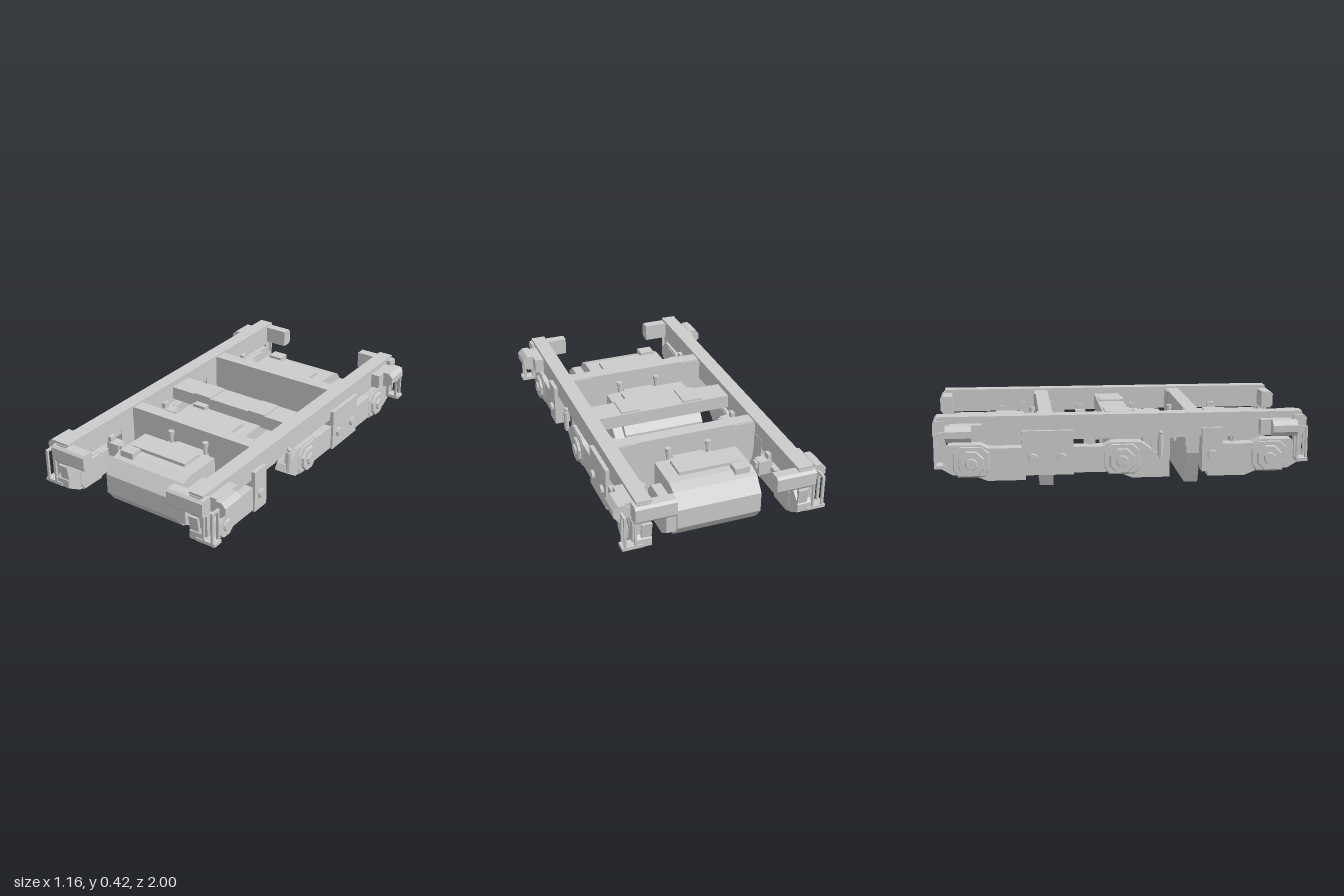
import * as THREE from 'three';

const grey = new THREE.MeshStandardMaterial({ color: 0xcccccc, flatShading: true, side: THREE.DoubleSide });

function add(parent, name, geometry, x = 0, y = 0, z = 0) {
  const mesh = new THREE.Mesh(geometry, grey);
  mesh.name = name;
  mesh.position.set(x, y, z);
  parent.add(mesh);
  return mesh;
}

// Box given by its limits on each axis
function box(parent, name, [x0, x1], [y0, y1], [z0, z1]) {
  const g = new THREE.BoxGeometry(Math.abs(x1 - x0), Math.abs(y1 - y0), Math.abs(z1 - z0));
  return add(parent, name, g, (x0 + x1) / 2, (y0 + y1) / 2, (z0 + z1) / 2);
}

function extrude(points, depth, bevel = 0) {
  const shape = new THREE.Shape(points.map(([a, b]) => new THREE.Vector2(a, b)));
  return new THREE.ExtrudeGeometry(shape, {
    depth, bevelEnabled: bevel > 0, bevelSize: bevel, bevelThickness: bevel, bevelOffset: -bevel, bevelSegments: 1,
  });
}

// Profile of [z, y] points extruded along x
function sideProfile(parent, name, points, x0, x1, bevel = 0) {
  const g = extrude(points.map(([z, y]) => [-z, y]), x1 - x0 - 2 * bevel, bevel);
  g.rotateY(Math.PI / 2);
  return add(parent, name, g, x0 + bevel, 0, 0);
}

// Cylinder lying along x
function discX(parent, name, r0, r1, x0, x1, y, z, sides = 8) {
  const g = new THREE.CylinderGeometry(r1, r0, x1 - x0, sides);
  g.rotateY(Math.PI / sides);
  g.rotateZ(-Math.PI / 2);
  return add(parent, name, g, (x0 + x1) / 2, y, z);
}

// Traction motor: local z runs from the nose (0) to the rounded end (0.34)
function motor() {
  const m = new THREE.Group();
  m.name = 'tractionMotor';
  sideProfile(m, 'motorCasing', [
    [0, 0.015], [0.21, 0.015], [0.285, 0.045], [0.335, 0.11], [0.335, 0.22], [0.275, 0.295], [0.215, 0.315], [0, 0.315],
  ], -0.26, 0.21);
  sideProfile(m, 'gearCase', [
    [0.12, 0.065], [0.28, 0.065], [0.35, 0.11], [0.35, 0.215], [0.29, 0.262], [0.12, 0.262], [0.08, 0.215], [0.08, 0.11],
  ], 0.22, 0.275);
  box(m, 'axleStub', [0.2, 0.23], [0.14, 0.2], [0.18, 0.26]);
  box(m, 'inspectionCover', [-0.215, 0.135], [0.31, 0.333], [0.035, 0.165]);
  box(m, 'terminalBox', [-0.228, -0.145], [0.305, 0.34], [0.18, 0.25]);
  box(m, 'noseMount', [-0.09, 0.085], [0.2, 0.29], [-0.07, 0.01]);
  for (const y of [0.215, 0.275]) box(m, 'noseBar', [-0.135, 0.13], [y - 0.012, y + 0.012], [-0.057, -0.037]);
  for (const x of [-0.115, 0.115]) {
    add(m, 'nosePin', new THREE.CylinderGeometry(0.011, 0.011, 0.16, 8), x, 0.27, -0.047);
    add(m, 'pinHead', new THREE.CylinderGeometry(0.017, 0.017, 0.024, 8), x, 0.345, -0.047);
  }
  return m;
}

// Axle box with octagonal cover
function axleBox(parent, z) {
  sideProfile(parent, 'axleBoxHousing', [
    [z - 0.07, 0.09], [z + 0.07, 0.09], [z + 0.1, 0.13], [z + 0.1, 0.22], [z + 0.06, 0.26], [z - 0.06, 0.26], [z - 0.1, 0.22], [z - 0.1, 0.13],
  ], 0.395, 0.482, 0.008);
  discX(parent, 'axleBoxCover', 0.075, 0.068, 0.475, 0.497, 0.165, z);
  discX(parent, 'axleBoxCap', 0.035, 0.03, 0.495, 0.507, 0.165, z);
}

// Parts found at both ends of a side, drawn at the +z end
function sideEnd() {
  const e = new THREE.Group();
  e.name = 'frameEnd';
  sideProfile(e, 'headstock', [
    [0.93, 0.30], [0.985, 0.30], [0.998, 0.315], [0.998, 0.385], [0.985, 0.397], [0.93, 0.397],
  ], 0.27, 0.49);
  box(e, 'endPost', [0.415, 0.45], [0.15, 0.31], [0.94, 0.975]);
  box(e, 'endBracket', [0.45, 0.495], [0.18, 0.3], [0.93, 0.965]);
  const shoe = box(e, 'guardPlate', [0.4, 0.455], [0.17, 0.29], [0.972, 0.984]);
  shoe.rotation.x = 0.15;
  const cyl = new THREE.CylinderGeometry(0.046, 0.046, 0.135, 8);
  cyl.rotateY(Math.PI / 8);
  cyl.rotateX(Math.PI / 2);
  add(e, 'brakeCylinder', cyl, 0.537, 0.34, 0.862);
  box(e, 'cylinderMount', [0.465, 0.52], [0.3, 0.38], [0.74, 0.91]);
  // Foot step
  for (const z of [0.937, 0.985]) {
    box(e, 'stepRod', [0.532, 0.546], [0.165, 0.345], [z - 0.006, z + 0.006]);
    box(e, 'stepRod', [0.48, 0.492], [0.165, 0.31], [z - 0.006, z + 0.006]);
  }
  box(e, 'stepTopRail', [0.532, 0.546], [0.335, 0.347], [0.92, 0.991]);
  box(e, 'stepTread', [0.445, 0.557], [0.157, 0.175], [0.931, 0.991]);
  return e;
}

function side() {
  const s = new THREE.Group();
  s.name = 'sideAssembly';
  box(s, 'sideBeam', [0.402, 0.468], [0.285, 0.405], [-0.98, 0.98]);
  box(s, 'topFlange', [0.395, 0.477], [0.403, 0.418], [-0.975, 0.975]);

  // Lower side members: a short one at the front, a long one behind
  sideProfile(s, 'frontLowerBeam', [
    [0.43, 0.105], [0.9, 0.105], [0.985, 0.155], [0.985, 0.2], [0.92, 0.265], [0.75, 0.265], [0.71, 0.245], [0.43, 0.245],
  ], 0.4, 0.478);
  sideProfile(s, 'rearLowerBeam', [
    [-0.9, 0.105], [0.12, 0.105], [0.21, 0.165], [0.19, 0.2], [0.1, 0.265], [-0.06, 0.265], [-0.1, 0.245],
    [-0.71, 0.245], [-0.75, 0.265], [-0.92, 0.265], [-0.985, 0.2], [-0.985, 0.155],
  ], 0.4, 0.478);
  for (const z of [-0.8, 0, 0.8]) axleBox(s, z);

  // Side plates with round bosses
  for (const [z0, z1] of [[0.43, 0.54], [-0.535, -0.26]])
    box(s, 'suspensionPlate', [0.4, 0.49], [0.098, 0.337], [z0, z1]);
  for (const z of [0.485, -0.32, -0.475]) discX(s, 'plateBoss', 0.028, 0.024, 0.485, 0.505, 0.19, z, 10);

  // Brake hangers on the inner face
  for (const z of [-0.64, -0.165, 0.155, 0.635]) {
    box(s, 'brakeHanger', [0.325, 0.395], [0.21, 0.29], [z - 0.032, z + 0.028]);
    box(s, 'brakeHangerTip', [0.31, 0.33], [0.25, 0.285], [z - 0.02, z + 0.016]);
    box(s, 'brakeHangerMount', [0.38, 0.41], [0.24, 0.32], [z - 0.02, z + 0.02]);
  }

  // Damper and strut ahead of the middle axle
  add(s, 'damper', new THREE.CylinderGeometry(0.015, 0.015, 0.11, 8), 0.485, 0.245, 0.205);
  add(s, 'damperRod', new THREE.CylinderGeometry(0.008, 0.008, 0.15, 8), 0.485, 0.25, 0.205);
  add(s, 'damperEye', new THREE.SphereGeometry(0.013, 8, 6), 0.485, 0.315, 0.205);
  const strut = box(s, 'strut', [0.44, 0.465], [0.2, 0.31], [0.155, 0.17]);
  strut.rotation.x = -0.25;
  for (const z of [0.61, -0.18]) {
    const link = box(s, 'brakeLink', [0.41, 0.43], [0.22, 0.31], [z, z + 0.012]);
    link.rotation.x = z > 0 ? 0.35 : -0.35;
  }

  const front = sideEnd();
  const back = sideEnd();
  back.scale.z = -1;
  s.add(front, back);
  return s;
}

export function createModel() {
  const bogie = new THREE.Group();
  bogie.name = 'threeAxleTruckFrame';

  const left = side();
  const right = side();
  right.scale.x = -1;
  bogie.add(left, right);

  // Deep transoms with corner gussets
  const outline = [[-0.325, 0], [0.325, 0], [0.4, 0.18], [0.405, 0.408], [-0.405, 0.408], [-0.4, 0.18]];
  for (const z of [0.398, -0.4]) {
    add(bogie, 'transom', extrude(outline, 0.074), 0, 0, z - 0.037);
    for (const sx of [1, -1]) {
      const gusset = add(bogie, 'gusset', extrude([[0.28, 0.405], [0.403, 0.22], [0.403, 0.405]], 0.008), 0, 0, z - 0.045);
      gusset.scale.x = sx;
    }
  }

  // Centre bolster with two bearing pads
  box(bogie, 'bolster', [-0.405, 0.405], [0.305, 0.38], [-0.08, 0.07]);
  for (const x of [-0.185, 0.185]) box(bogie, 'bearingPad', [x - 0.055, x + 0.055], [0.375, 0.39], [-0.07, 0.075]);

  // Motors: the front one faces forward, the others backward
  for (const [z, dir] of [[0.505, 1], [0.29, -1], [-0.51, -1]]) {
    const m = motor();
    m.position.z = z;
    m.scale.z = dir;
    bogie.add(m);
  }
  return bogie;
}
